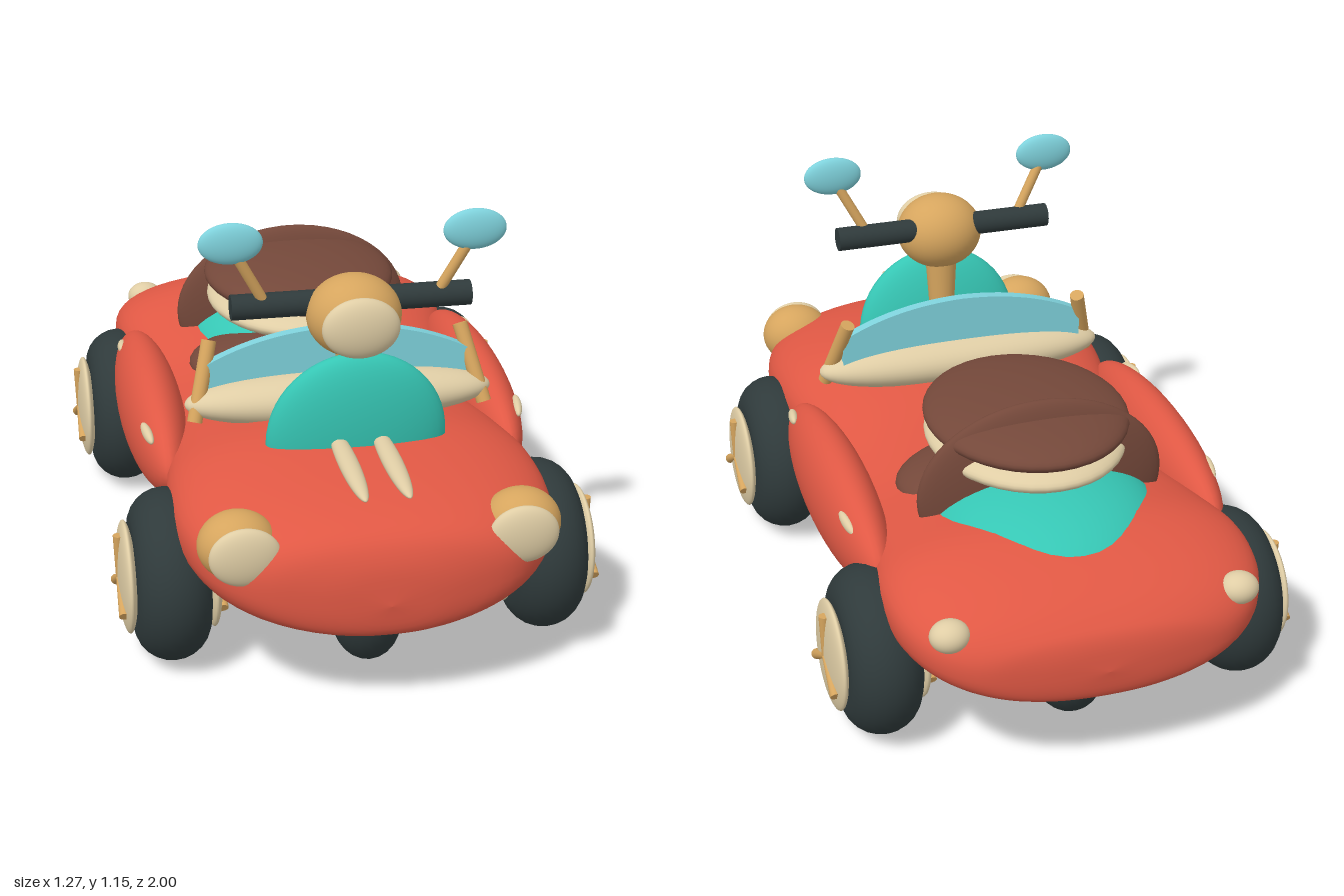
import * as THREE from 'three';

const mat = (name, color) => {
  const m = new THREE.MeshStandardMaterial({ color });
  m.name = name;
  return m;
};

export function createModel() {
  const red = mat('red paint', 0xe05844), teal = mat('teal trim', 0x36c6b4), gold = mat('gold metal', 0xd6a55e);
  const cream = mat('cream', 0xdfcda5), glass = mat('blue glass', 0x7fd2dc), rubber = mat('dark rubber', 0x2f3a3b);
  const brown = mat('brown leather', 0x74483a);
  const car = new THREE.Group();
  car.name = 'car';

  const add = (name, geo, material, pos = [0, 0, 0], parent = car) => {
    const m = new THREE.Mesh(geo, material);
    m.name = name;
    m.position.set(...pos);
    parent.add(m);
    return m;
  };
  // Ellipsoid from centre and radii
  const blob = (name, material, pos, r, parent = car) =>
    add(name, new THREE.SphereGeometry(1, 40, 28).scale(...r), material, pos, parent);
  // Round bar between two points
  const rod = (name, material, from, to, r0, r1 = r0, parent = car) => {
    const a = new THREE.Vector3(...from), b = new THREE.Vector3(...to);
    const d = b.clone().sub(a);
    const m = add(name, new THREE.CylinderGeometry(r1, r0, d.length(), 18), material,
      a.clone().add(b).multiplyScalar(0.5).toArray(), parent);
    m.quaternion.setFromUnitVectors(new THREE.Vector3(0, 1, 0), d.normalize());
    return m;
  };

  // Body: rounded cross-sections along z [z, half width, bottom, top]
  const stations = [
    [1, 0, 0.32, 0.32], [0.985, 0.18, 0.24, 0.43], [0.94, 0.34, 0.22, 0.495], [0.85, 0.43, 0.212, 0.53],
    [0.7, 0.48, 0.21, 0.56], [0.5, 0.485, 0.21, 0.58], [0.3, 0.46, 0.215, 0.56], [0.05, 0.425, 0.22, 0.525],
    [-0.2, 0.425, 0.22, 0.52], [-0.45, 0.465, 0.22, 0.55], [-0.65, 0.492, 0.225, 0.57], [-0.8, 0.475, 0.23, 0.54],
    [-0.9, 0.42, 0.235, 0.495], [-0.96, 0.33, 0.24, 0.45], [-0.988, 0.19, 0.26, 0.41], [-1, 0, 0.33, 0.33],
  ];
  const side = new THREE.CatmullRomCurve3(stations.map(s => new THREE.Vector3(s[1], s[2], s[0])), false, 'centripetal');
  const roof = new THREE.CatmullRomCurve3(stations.map(s => new THREE.Vector3(s[1], s[3], s[0])), false, 'centripetal');
  const rings = 75, seg = 56, verts = [], faces = [];
  const bend = v => Math.sign(v) * Math.abs(v) ** 0.85;
  for (let i = 0; i <= rings; i++) {
    const lo = side.getPoint(i / rings), hi = roof.getPoint(i / rings);
    const mid = lo.y + 0.54 * (hi.y - lo.y);
    for (let j = 0; j < seg; j++) {
      const t = (j / seg) * Math.PI * 2, s = bend(Math.sin(t));
      verts.push(Math.max(lo.x, 0) * bend(Math.cos(t)), mid + s * (s > 0 ? hi.y - mid : mid - lo.y), (lo.z + hi.z) / 2);
      if (i === rings) continue;
      const k = (j + 1) % seg, a = i * seg + j, b = a + seg, c = i * seg + k, d = c + seg;
      faces.push(a, b, c, b, d, c);
    }
  }
  const bodyGeo = new THREE.BufferGeometry();
  bodyGeo.setAttribute('position', new THREE.Float32BufferAttribute(verts, 3));
  bodyGeo.setIndex(faces);
  bodyGeo.computeVertexNormals();
  add('body', bodyGeo, red);
  blob('bellyPlate', cream, [0, 0.25, 0.09], [0.24, 0.052, 0.34]);

  // Wheels: four outside and two on the centre line
  const wheel = (name, x, z, width) => {
    const g = new THREE.Group();
    g.name = name;
    g.position.set(x, 0.225, z);
    car.add(g);
    const tyre = new THREE.TorusGeometry(0.135, 0.09, 24, 48).rotateY(Math.PI / 2).scale(width / 0.09, 1, 1);
    add('tyre', tyre, rubber, [0, 0, 0], g);
    for (const s of [-1, 1]) {
      blob('hubcap', cream, [s * (width + 0.013), 0, 0], [0.024, 0.147, 0.147], g);
      for (let k = 0; k < 3; k++) {
        const a = (k * Math.PI * 2) / 3, sx = s * (width + 0.031);
        rod('spoke', gold, [sx, 0, 0], [sx, 0.12 * Math.cos(a), 0.12 * Math.sin(a)], 0.009, 0.014, g);
      }
    }
  };
  wheel('frontCentreWheel', 0, 0.63, 0.08);
  wheel('rearCentreWheel', 0, -0.61, 0.08);

  for (const s of [1, -1]) {
    const n = s > 0 ? 'left' : 'right';
    wheel(n + 'FrontWheel', s * 0.493, 0.545, 0.096);
    wheel(n + 'RearWheel', s * 0.493, -0.565, 0.096);

    // Side pods with small marker lamps
    blob(n + 'SidePod', red, [s * 0.46, 0.418, -0.08], [0.087, 0.14, 0.47]);
    for (const [z, turn, tilt] of [[0.25, 0.14, 0.15], [-0.37, -0.12, -0.15]]) {
      const lamp = blob(n + 'MarkerLamp', cream, [s * 0.506, 0.49, z], [0.013, 0.016, 0.05]);
      lamp.rotation.set(tilt, -s * turn, 0);
    }

    // Headlights and tail lights
    blob(n + 'HeadlightShell', gold, [s * 0.358, 0.45, 0.855], [0.1, 0.088, 0.09]);
    blob(n + 'HeadlightLens', cream, [s * 0.348, 0.446, 0.92], [0.09, 0.077, 0.03]);
    blob(n + 'TailLight', cream, [s * 0.38, 0.44, -0.89], [0.052, 0.042, 0.047]);

    // Windscreen posts, mirrors and nose spears
    rod(n + 'WindscreenPost', gold, [s * 0.39, 0.55, 0.335], [s * 0.338, 0.748, 0.258], 0.02);
    rod(n + 'MirrorStem', gold, [s * 0.225, 0.93, 0.475], [s * 0.305, 1.08, 0.497], 0.014);
    blob(n + 'Mirror', glass, [s * 0.312, 1.1, 0.497], [0.082, 0.054, 0.023]);
    blob(n + 'NoseSpear', cream, [s * 0.055, 0.58, 0.72], [0.026, 0.02, 0.22]);
  }

  // Dashboard roll
  const roll = [];
  for (let i = 0; i <= 28; i++) {
    const u = -Math.cos((i / 28) * Math.PI);
    roll.push(new THREE.Vector2(Math.sqrt(Math.max(0, 1 - Math.abs(u) ** 2.5)), u));
  }
  const dashGeo = new THREE.LatheGeometry(roll, 36).rotateZ(Math.PI / 2).scale(0.412, 0.068, 0.094);
  add('dashboard', dashGeo, cream, [0, 0.588, 0.305]);

  // Windscreen pane with a bowed top edge
  const pane = new THREE.Shape();
  pane.moveTo(-0.35, 0.58);
  pane.lineTo(0.35, 0.58);
  pane.lineTo(0.35, 0.695);
  pane.quadraticCurveTo(0.2, 0.775, 0, 0.778);
  pane.quadraticCurveTo(-0.2, 0.775, -0.35, 0.695);
  add('windscreen', new THREE.ExtrudeGeometry(pane, { depth: 0.03, bevelEnabled: false, curveSegments: 16 }), glass, [0, 0, 0.27]);

  // Front fairing and steering head
  blob('frontFairing', teal, [0, 0.57, 0.54], [0.235, 0.243, 0.07]).rotation.x = 0.1;
  rod('steeringColumn', gold, [0, 0.53, 0.48], [0, 0.86, 0.49], 0.028, 0.048);
  const bar = add('handlebar', new THREE.CylinderGeometry(0.033, 0.033, 0.62, 24), rubber, [0, 0.918, 0.467]);
  bar.rotation.z = Math.PI / 2;
  blob('lampHead', gold, [0, 0.893, 0.505], [0.122, 0.107, 0.11]);
  blob('lampLens', cream, [0, 0.892, 0.6], [0.1, 0.08, 0.035]);

  // Seat, backrest and padded lid over a rear hump
  blob('seat', brown, [0, 0.48, -0.22], [0.33, 0.085, 0.22]);
  blob('rearHump', teal, [0, 0.465, -0.48], [0.31, 0.155, 0.36]);
  blob('backrest', brown, [0, 0.56, -0.435], [0.335, 0.245, 0.055]);
  blob('lidBase', cream, [0, 0.647, -0.3], [0.262, 0.06, 0.325]);
  blob('lidPad', brown, [0, 0.71, -0.31], [0.268, 0.062, 0.32]);

  return car;
}
